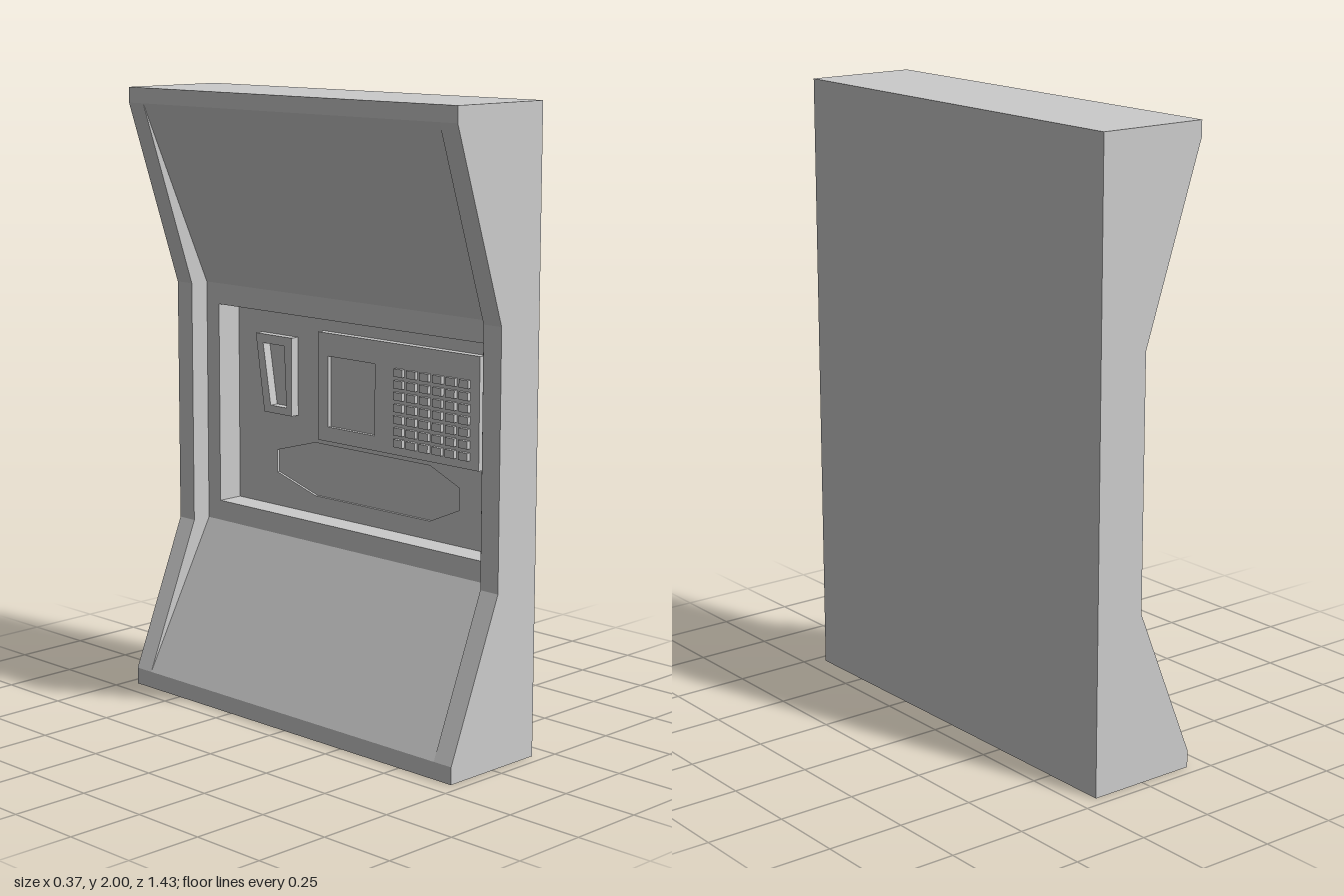
import * as THREE from 'three';

const mat = new THREE.MeshStandardMaterial({ color: 0xcccccc, flatShading: true });
const HALF = 0.713, INNER = 0.643, BACK = 0.185;

const toPoints = (list) => list.map(([a, b]) => new THREE.Vector2(a, b));
const rect = (a0, b0, a1, b1) => [[a0, b0], [a1, b0], [a1, b1], [a0, b1]];

function extrude(points, depth, holes = []) {
  const shape = new THREE.Shape(toPoints(points));
  holes.forEach((h) => shape.holes.push(new THREE.Path(toPoints(h))));
  return new THREE.ExtrudeGeometry(shape, { depth, bevelEnabled: false });
}

export function createModel() {
  const group = new THREE.Group();
  const add = (name, geometry) => {
    const mesh = new THREE.Mesh(geometry, mat);
    mesh.name = name;
    group.add(mesh);
    return mesh;
  };

  // Side profile (x, y) swept across the width from z0 to z1
  const profile = (name, points, z0, z1) =>
    add(name, extrude(points, z1 - z0).translate(0, 0, z0));

  // Outline (z, y) facing -x, between front plane x0 and rear plane x1
  const plate = (name, points, x0, x1, holes) =>
    add(name, extrude(points, x1 - x0, holes).rotateY(-Math.PI / 2).translate(x1, 0, 0));

  // Side walls with the hollowed outline
  const side = [
    [-0.185, 0], [BACK, 0], [BACK, 2], [-0.185, 2], [-0.185, 1.95],
    [0.015, 1.35], [0.015, 0.545], [-0.185, 0.055],
  ];
  profile('leftWall', side, INNER, HALF);
  profile('rightWall', side, -HALF, -INNER);

  // Sloping hood and base between the walls
  profile('hood', [
    [-0.185, 1.95], [0.082, 1.35], [BACK, 1.35], [BACK, 2], [-0.185, 2],
  ], -INNER, INNER);
  profile('base', [
    [-0.185, 0], [BACK, 0], [BACK, 0.545], [0.082, 0.545], [-0.185, 0.055],
  ], -INNER, INNER);

  // Middle surround with the console opening
  const opening = rect(-0.584, 0.612, 0.584, 1.28);
  plate('consoleSurround', rect(-INNER, 0.545, INNER, 1.35), 0.082, BACK, [opening]);

  // Console back with a shallow eight-sided tray
  const tray = [
    [-0.4, 0.725], [-0.22, 0.672], [0.29, 0.672], [0.415, 0.727],
    [0.415, 0.797], [0.29, 0.85], [-0.22, 0.85], [-0.4, 0.8],
  ];
  plate('consoleBack', opening, 0.181, BACK);
  plate('consolePanel', opening, 0.172, 0.181, [tray]);

  // Raised control panel with a sunken screen
  const screen = rect(-0.133, 0.918, 0.076, 1.15);
  plate('controlPanel', rect(-0.18, 0.87, 0.517, 1.225), 0.144, 0.172, [screen]);
  plate('screen', screen, 0.158, 0.172);

  // Keypad
  const keypad = new THREE.Group();
  keypad.name = 'keypad';
  const cols = 6, rows = 7;
  const keyShape = new THREE.BoxGeometry(0.016, 0.025, 0.037);
  for (let c = 0; c < cols; c++) {
    for (let r = 0; r < rows; r++) {
      const key = new THREE.Mesh(keyShape, mat);
      key.name = 'key';
      key.position.set(0.139, 0.91 + r * 0.0375, 0.187 + c * 0.055);
      keypad.add(key);
    }
  }
  group.add(keypad);

  // Tapered raised frame around a slot
  plate('slotFrame', [[-0.43, 0.93], [-0.3, 0.93], [-0.3, 1.19], [-0.47, 1.19]],
    0.142, 0.172, [[[-0.4, 0.955], [-0.325, 0.955], [-0.335, 1.16], [-0.435, 1.16]]]);

  return group;
}
